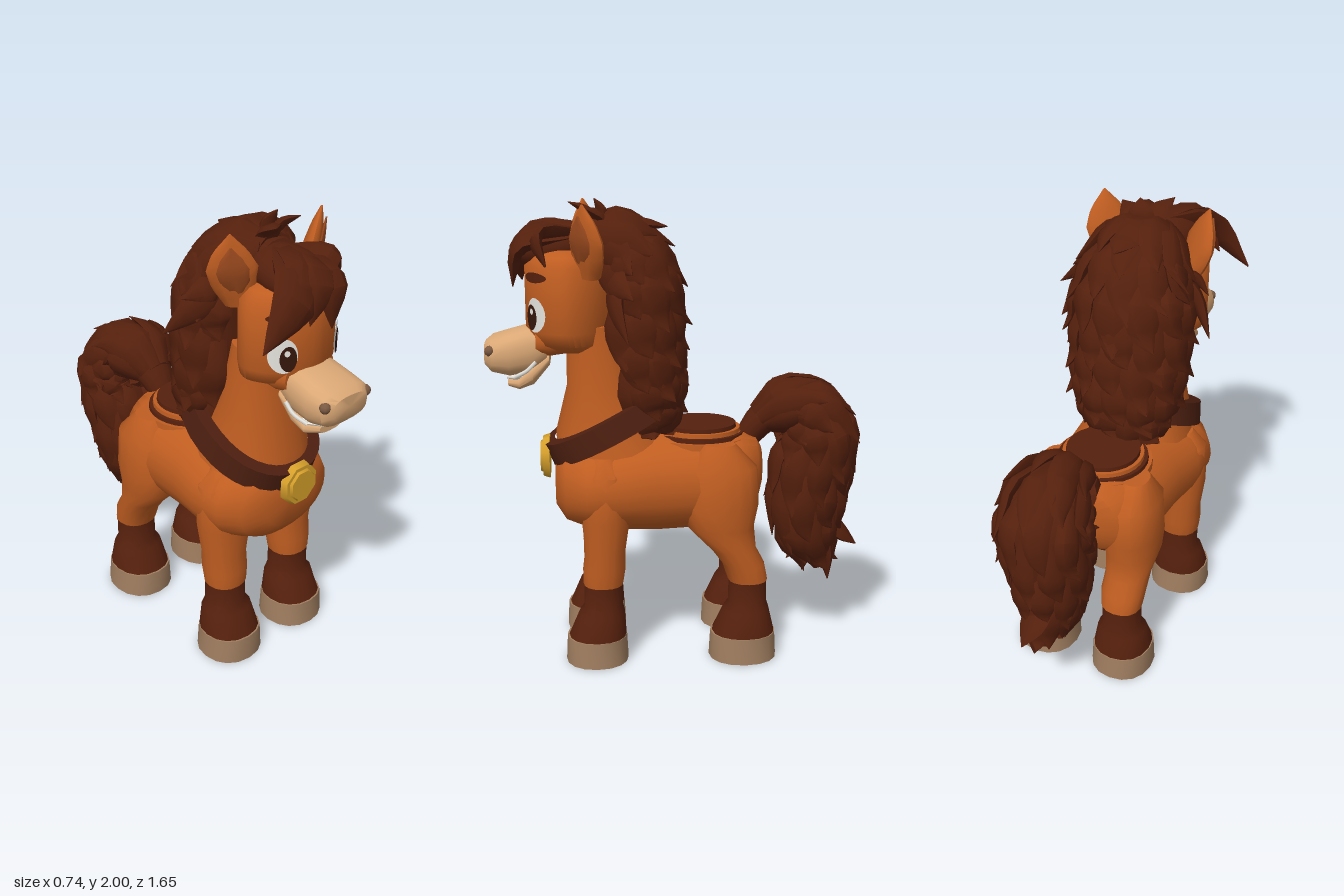
import * as THREE from 'three';
import { mergeGeometries, toCreasedNormals } from 'three/addons/utils/BufferGeometryUtils.js';

const V = (x, y, z) => new THREE.Vector3(x, y, z);
const X = V(1, 0, 0);
const series = (n, from, to) => Array.from({ length: n }, (_, i) => from + (to - from) * i / (n - 1));

function material(name, color) {
  const m = new THREE.MeshStandardMaterial({ color });
  m.name = name;
  return m;
}

// Skin closed rings of points, with optional flat ends
function skin(rings, caps = true) {
  const n = rings[0].length, pos = [], idx = [];
  for (const r of rings) for (const p of r) pos.push(p.x, p.y, p.z);
  for (let i = 0; i < rings.length - 1; i++) {
    for (let j = 0; j < n; j++) {
      const a = i * n + j, b = i * n + (j + 1) % n;
      idx.push(a, b, a + n, b, b + n, a + n);
    }
  }
  if (caps) {
    for (const last of [false, true]) {
      const base = last ? (rings.length - 1) * n : 0, ci = pos.length / 3;
      const c = rings[last ? rings.length - 1 : 0].reduce((s, p) => s.add(p), V(0, 0, 0)).divideScalar(n);
      pos.push(c.x, c.y, c.z);
      for (let j = 0; j < n; j++) {
        const a = base + j, b = base + (j + 1) % n;
        if (last) idx.push(ci, a, b); else idx.push(ci, b, a);
      }
    }
  }
  const g = new THREE.BufferGeometry();
  g.setAttribute('position', new THREE.Float32BufferAttribute(pos, 3));
  g.setIndex(idx);
  return toCreasedNormals(g, 0.8);
}

function ring(c, side, up, w, h, seg, p = 2) {
  const f = (v) => Math.sign(v) * Math.abs(v) ** (2 / p);
  return series(seg + 1, 0, Math.PI * 2).slice(0, seg).map((a) =>
    c.clone().addScaledVector(side, w * f(Math.cos(a))).addScaledVector(up, h * f(Math.sin(a))));
}

// Sections [y, z, halfWidth, halfDepth]; tilt 0 runs along +z, 90 runs downwards
function loft(secs, tilt, { seg = 20, p = 2.2, caps = true, x = 0 } = {}) {
  const t = THREE.MathUtils.degToRad(tilt), up = V(0, Math.cos(t), Math.sin(t));
  return skin(secs.map(([y, z, w, h]) => ring(V(x, y, z), X, up, w, h, seg, p)), caps);
}

function sample(arr, u) {
  const s = Math.min(u, 1) * (arr.length - 1), i = Math.min(Math.floor(s), arr.length - 2);
  return arr[i] + (arr[i + 1] - arr[i]) * (s - i);
}

// Tapered strand along a curve, flat across the side vector
function sweep(pts, widths, thicks, side, steps, seg) {
  const curve = new THREE.CatmullRomCurve3(pts);
  return skin(series(steps + 1, 0, 1).map((u) => {
    const t = curve.getTangent(u), b = side.clone().addScaledVector(t, -side.dot(t)).normalize();
    return ring(curve.getPoint(u), b, t.clone().cross(b), sample(widths, u), sample(thicks, u), seg);
  }));
}

// Pointed lock of hair
function lock(pts, w, h, side) {
  return sweep(pts, [0.55, 1, 0.95, 0.55, 0.02].map((k) => k * w), [0.5, 1, 0.8, 0.5, 0.05].map((k) => k * h), side, 7, 6);
}

// Lock from root to tip, bowed outwards in the middle
function tuft(root, tip, bow, w) {
  const mid = root.clone().lerp(tip, 0.5).add(bow);
  return lock([root, mid, tip], w, w * 0.5, bow.clone().cross(tip.clone().sub(root)).normalize());
}

// Core of hair on a [y, z] spine, covered in staggered rows of locks with flicked tips
function hairMass(spine, widths, thicks, rows, angles, len, flare, w) {
  const pts = spine.map(([y, z]) => V(0, y, z));
  const curve = new THREE.CatmullRomCurve3(pts), parts = [sweep(pts, widths, thicks, X, 18, 16)];
  const at = (v, a, k, extra) => {
    const u = Math.min(v, 1), n = curve.getTangent(u).cross(X);
    return curve.getPoint(u).addScaledVector(X, (k * sample(widths, u) + extra) * Math.cos(a))
      .addScaledVector(n, (k * sample(thicks, u) + extra) * Math.sin(a));
  };
  rows.forEach((u, r) => angles.forEach((deg, i) => {
    const a = THREE.MathUtils.degToRad(deg + (r % 2 ? 14 : -8)), vary = ((i * 7 + r * 3) % 5) / 4;
    const l = len * (0.85 + 0.3 * vary);
    const p = [at(u, a, 0.88, 0), at(u + l * 0.5, a + 0.08, 1.03, 0.015), at(u + l * 0.8, a, 1, flare * 0.45),
      at(u + l, a - 0.12, 1, flare * (0.8 + 0.5 * vary))];
    const out = at(u, a, 1, 1).sub(at(u, a, 1, 0));
    parts.push(lock(p, w, w * 0.5, out.cross(p[2].clone().sub(p[0])).normalize()));
  }));
  return mergeGeometries(parts);
}

export function createModel() {
  const coat = material('coat orange', 0xbf5d21), hair = material('hair brown', 0x55200d);
  const strap = material('strap brown', 0x4c1f10), hoofMat = material('hoof taupe', 0xa07e60);
  const tan = material('muzzle tan', 0xdba876), gold = material('gold', 0xd6a02b);
  const white = material('white', 0xe6e4de), dark = material('dark brown', 0x35170c);
  const ear = material('inner ear', 0x9c4a1e), nose = material('nostril brown', 0x7c5a42);
  const model = new THREE.Group(), half = new THREE.Group();
  half.name = 'leftParts';
  const add = (name, geo, mat, parent = model) => {
    const m = new THREE.Mesh(geo, mat);
    m.name = name;
    parent.add(m);
  };

  // Torso and neck
  add('body', loft([[0.82, -0.375, 0.08, 0.09], [0.81, -0.345, 0.19, 0.16], [0.79, -0.25, 0.27, 0.21],
    [0.785, -0.1, 0.29, 0.225], [0.775, 0.1, 0.29, 0.225], [0.77, 0.25, 0.315, 0.21],
    [0.77, 0.4, 0.31, 0.195], [0.775, 0.49, 0.25, 0.17], [0.775, 0.535, 0.14, 0.11]], 0, { seg: 28 }), coat);
  add('neck', loft([[1.47, 0.36, 0.15, 0.12], [1.2, 0.33, 0.17, 0.15], [1, 0.3, 0.21, 0.23],
    [0.86, 0.26, 0.25, 0.27]], 90, { seg: 24 }), coat);

  // Stepped pad on the back
  for (let i = 0; i < 4; i++) {
    const r = 0.222 - i * 0.018;
    add('backPad', new THREE.CylinderGeometry(r - 0.006, r, 0.06, 28).translate(0, 0.94 + i * 0.018, -0.1), i % 2 ? hair : coat);
  }

  // Legs: shaped upper, then a shared sock and hoof
  const leg = (name, upper, ankleZ, hoofZ, depth) => {
    const o = { seg: 16, x: 0.193 };
    add(name + 'Leg', loft(upper, 90, o), coat, half);
    add(name + 'Sock', loft([[0.37, ankleZ, 0.088, 0.084], [0.25, ankleZ, 0.087, 0.085],
      [0.22, ankleZ * 0.75 + hoofZ * 0.25, 0.11, 0.1], [0.1, hoofZ, 0.132, depth - 0.007]], 90, o), hair, half);
    add(name + 'Hoof', loft([[0.115, hoofZ, 0.134, depth - 0.006], [0, hoofZ, 0.14, depth]], 90, o), hoofMat, half);
  };
  leg('front', [[0.92, 0.32, 0.05, 0.05], [0.85, 0.32, 0.115, 0.1], [0.65, 0.32, 0.12, 0.105],
    [0.5, 0.325, 0.1, 0.088], [0.42, 0.33, 0.1, 0.093], [0.35, 0.335, 0.092, 0.087]], 0.335, 0.365, 0.137);
  leg('back', [[0.97, -0.17, 0.06, 0.07], [0.87, -0.18, 0.115, 0.155], [0.7, -0.18, 0.125, 0.165],
    [0.6, -0.18, 0.117, 0.145], [0.5, -0.235, 0.1, 0.1], [0.43, -0.28, 0.1, 0.092], [0.355, -0.3, 0.092, 0.087]], -0.3, -0.28, 0.15);

  // Head
  const HZ = 0.47, HW = 0.222, HD = 0.18, HP = 1.75;
  add('head', loft([[1.79, HZ, 0.12, 0.11], [1.765, HZ, 0.185, 0.155], [1.72, HZ, HW, HD], [1.45, HZ, HW, HD],
    [1.395, HZ - 0.01, 0.205, 0.165], [1.36, HZ - 0.02, 0.14, 0.125]], 90, { seg: 36, p: HP }), coat);
  add('cheeks', loft([[1.42, 0.38, 0.16, 0.06], [1.41, 0.55, 0.155, 0.075], [1.41, 0.605, 0.135, 0.07]], 0, { p: 2.5 }), coat);
  add('muzzle', loft([[1.385, 0.56, 0.12, 0.075], [1.365, 0.63, 0.132, 0.103], [1.347, 0.72, 0.137, 0.097],
    [1.345, 0.795, 0.132, 0.077], [1.348, 0.825, 0.095, 0.05]], 0, { p: 2.8 }), tan);
  add('lowerJaw', loft([[1.33, 0.55, 0.115, 0.035], [1.265, 0.62, 0.115, 0.055], [1.224, 0.68, 0.105, 0.034],
    [1.222, 0.73, 0.06, 0.02]], 0, { p: 2.5 }), tan);
  add('teeth', loft([[1.27, 0.6, 0.09, 0.02], [1.25, 0.69, 0.095, 0.016], [1.247, 0.735, 0.06, 0.012]], 0, { p: 2.6 }), white);
  add('smile', new THREE.TubeGeometry(new THREE.CatmullRomCurve3([V(0.128, 1.325, 0.605), V(0.124, 1.285, 0.645),
    V(0.1, 1.253, 0.7)]), 8, 0.009, 6), white, half);
  add('nostril', new THREE.SphereGeometry(0.024, 8, 6).translate(0.112, 1.37, 0.798), nose, half);

  // Eyes and brows wrapped onto the face
  const patch = (cx, cy, w, h, lift) => {
    const g = new THREE.RingGeometry(0, 1, 24, 4), p = g.attributes.position;
    for (let i = 0; i < p.count; i++) {
      const x = cx + w * p.getX(i);
      p.setXYZ(i, x, cy + h * p.getY(i), HZ + HD * (1 - (x / HW) ** HP) ** (1 / HP) + lift);
    }
    g.computeVertexNormals();
    return g;
  };
  add('eyeWhite', patch(0.145, 1.525, 0.046, 0.073, 0.01), white, half);
  add('pupil', patch(0.133, 1.515, 0.028, 0.054, 0.015), dark, half);
  add('eyeGlint', patch(0.14, 1.54, 0.009, 0.013, 0.019), white, half);
  add('eyebrow', patch(0.147, 1.682, 0.052, 0.022, 0.014), hair, half);

  // Ears
  const earSide = V(0.75, -0.1, -0.65);
  add('ear', sweep([V(0.172, 1.69, 0.375), V(0.218, 1.84, 0.385), V(0.245, 1.985, 0.4)],
    [0.06, 0.09, 0.1, 0.068, 0.004], [0.04, 0.04, 0.035, 0.025, 0.004], earSide, 10, 12), coat, half);
  add('innerEar', sweep([V(0.197, 1.73, 0.402), V(0.238, 1.84, 0.412), V(0.256, 1.94, 0.417)],
    [0.02, 0.055, 0.064, 0.042, 0.003], [0.012, 0.014, 0.003], earSide, 8, 8), ear, half);

  const right = half.clone();
  right.name = 'rightParts';
  right.scale.x = -1;
  model.add(half, right);

  // Collar and medallion
  const at = (d, w, h) => [1.045 - 0.88 * d, 0.285 - 0.47 * d, w, h];
  add('collar', loft([at(-0.05, 0.2, 0.26), at(-0.05, 0.255, 0.31), at(0.05, 0.275, 0.32), at(0.05, 0.22, 0.27)],
    118, { seg: 32, caps: false }), strap);
  const disc = (r, d, z) => new THREE.CylinderGeometry(r * 0.9, r, d, 8).rotateY(Math.PI / 8).rotateX(Math.PI / 2).translate(0, 0.88, z);
  add('medallionRim', disc(0.1, 0.03, 0.575), gold);
  add('medallionFace', disc(0.075, 0.014, 0.594), gold);

  // Mane
  add('mane', hairMass([[1.87, 0.42], [1.8, 0.24], [1.63, 0.17], [1.4, 0.15], [1.17, 0.12], [1, 0.1]],
    [0.08, 0.18, 0.235, 0.235, 0.205, 0.14], [0.04, 0.11, 0.145, 0.14, 0.12, 0.06],
    series(7, 0.03, 0.78), series(8, -212, 18), 0.25, 0.065, 0.078), hair);

  // Loose tufts: [tip, width] fanned from a shared root
  const fan = (name, root, bow, tips) => add(name, mergeGeometries(tips.map(([tip, w]) => tuft(root, tip, bow, w))), hair);
  add('forelockBase', new THREE.SphereGeometry(1, 16, 10).scale(0.135, 0.1, 0.2).rotateX(0.15).translate(-0.02, 1.8, 0.5), hair);
  fan('forelock', V(0.04, 1.85, 0.41), V(0, 0.06, 0.11), [[V(-0.33, 1.62, 0.68), 0.12], [V(0.01, 1.63, 0.7), 0.1],
    [V(-0.2, 1.68, 0.65), 0.11], [V(-0.1, 1.67, 0.69), 0.1], [V(0.18, 1.72, 0.55), 0.07]]);
  fan('crownTufts', V(0.02, 1.84, 0.33), V(0, 0.03, -0.02), [[V(0.05, 2, 0.35), 0.06], [V(-0.06, 1.98, 0.46), 0.06],
    [V(0.15, 1.96, 0.38), 0.06], [V(0.02, 1.88, 0.04), 0.085]]);
  fan('leftTufts', V(0.18, 1.68, 0.26), V(0, 0.02, 0.03), [[V(0.36, 1.61, 0.2), 0.06], [V(0.37, 1.43, 0.22), 0.065]]);
  fan('rightTufts', V(-0.18, 1.72, 0.26), V(0, 0.02, 0.03), [[V(-0.37, 1.53, 0.15), 0.065], [V(-0.33, 1.69, 0.22), 0.055]]);

  // Tail
  add('tail', hairMass([[0.92, -0.29], [1.05, -0.4], [1.1, -0.54], [0.98, -0.63], [0.77, -0.6], [0.54, -0.59], [0.33, -0.66]],
    [0.05, 0.1, 0.15, 0.18, 0.165, 0.12, 0.02], [0.05, 0.075, 0.095, 0.14, 0.155, 0.13, 0.03],
    series(6, 0.14, 0.76), series(9, -180, 140), 0.23, 0.045, 0.058), hair);
  fan('tailTips', V(0, 0.63, -0.62), V(0, -0.03, -0.02), [[V(0.02, 0.44, -0.82), 0.08], [V(0.04, 0.28, -0.69), 0.08],
    [V(-0.05, 0.33, -0.58), 0.08], [V(0.02, 0.38, -0.5), 0.08]]);
  return model;
}
